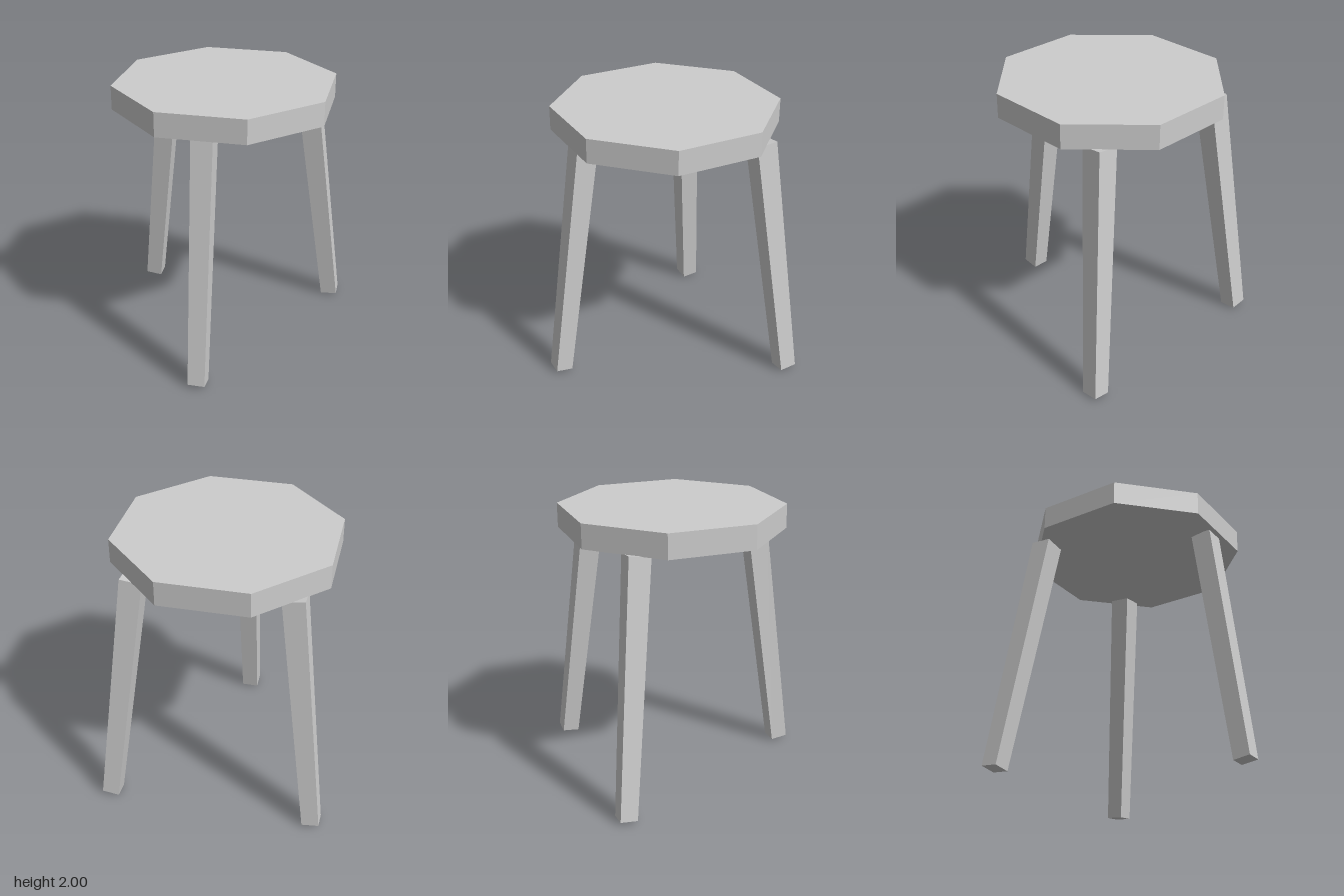
import * as THREE from 'three';

const SEAT_Z = -0.1;

// Give every face its own hard-edged normals.
function faceted(geometry) {
  const flat = geometry.toNonIndexed();
  flat.computeVertexNormals();
  return flat;
}

// Square tapered leg from foot to head; its ends are cut square to the lean.
function legGeometry(foot, head, footWidth, headWidth) {
  const geometry = new THREE.BoxGeometry(1, 1, 1);
  const pos = geometry.attributes.position;
  const leanX = (foot.x - head.x) / (head.y - foot.y);
  const leanZ = (foot.z - head.z) / (head.y - foot.y);
  for (let i = 0; i < pos.count; i++) {
    const atHead = pos.getY(i) > 0;
    const centre = atHead ? head : foot;
    const width = atHead ? headWidth : footWidth;
    const dx = pos.getX(i) * width;
    const dz = pos.getZ(i) * width;
    pos.setXYZ(i, centre.x + dx, centre.y + dx * leanX + dz * leanZ, centre.z + dz);
  }
  return faceted(geometry);
}

export function createModel() {
  const model = new THREE.Group();
  model.name = 'stool';

  const grey = new THREE.MeshStandardMaterial({ color: 0xcccccc });
  grey.name = 'light grey';

  const add = (name, geometry) => {
    const mesh = new THREE.Mesh(geometry, grey);
    mesh.name = name;
    model.add(mesh);
    return mesh;
  };

  // Octagonal seat with a flat side facing front
  const radius = 0.75 / Math.cos(Math.PI / 8);
  const seat = new THREE.CylinderGeometry(radius, radius, 0.175, 8, 1, false, Math.PI / 8);
  add('seat', faceted(seat)).position.set(0, 1.9125, SEAT_Z);

  // Three splayed legs
  const v = (x, y, z) => new THREE.Vector3(x, y, z);
  add('frontLeg', legGeometry(v(0, 0.019, 0.788), v(0, 1.822, 0.536), 0.124, 0.152));
  for (const [name, side] of [['backLeftLeg', 1], ['backRightLeg', -1]]) {
    add(name, legGeometry(v(side * 0.758, 0.014, -0.73), v(side * 0.541, 1.82, -0.55), 0.124, 0.155));
  }

  return model;
}
